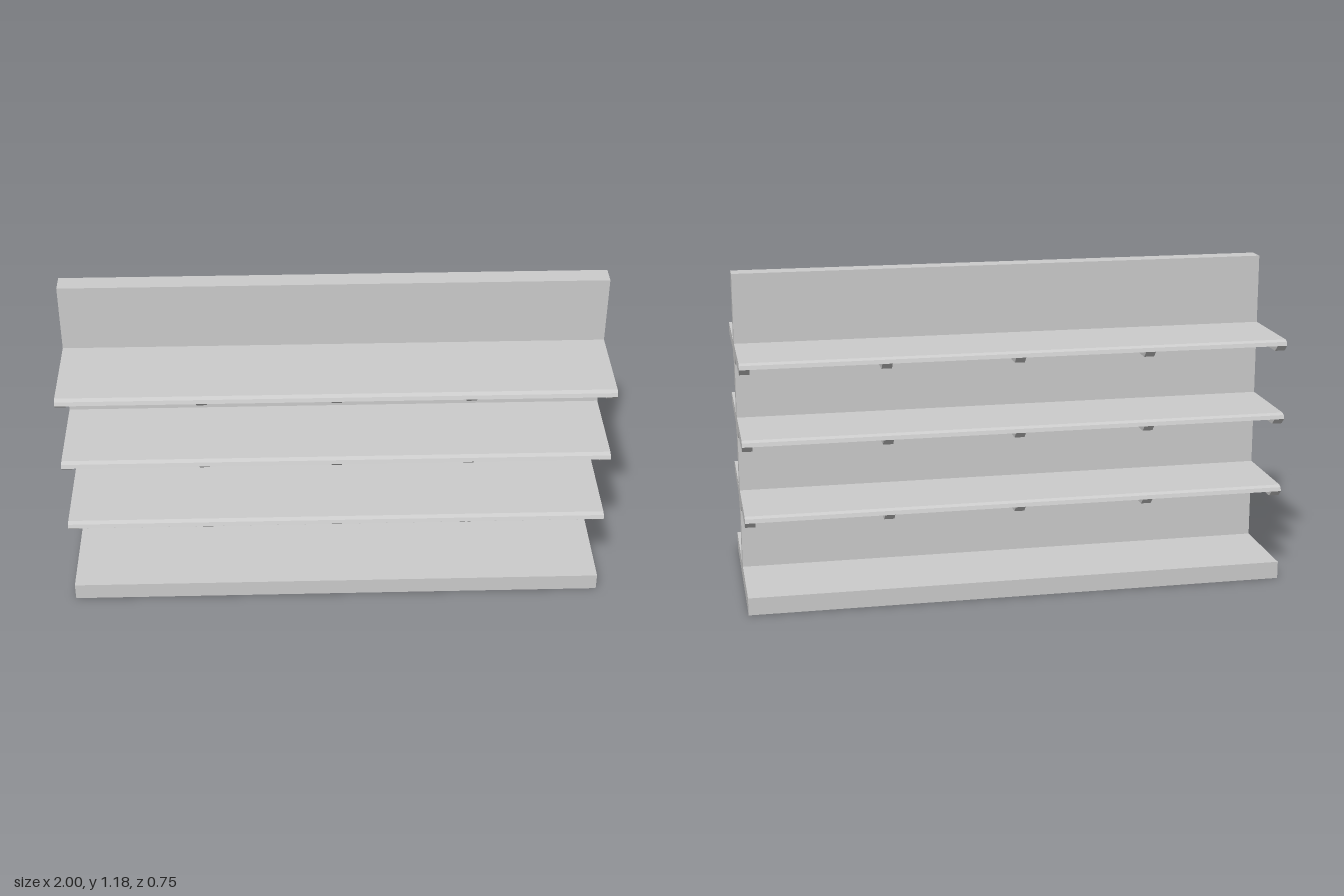
import * as THREE from 'three';

const LENGTH = 2;
const material = new THREE.MeshStandardMaterial({ color: 0xcccccc, flatShading: true });

// Extrude a (depth, height) profile along x, centred, with depth pointing to +z
function profileGeometry(points, width) {
  const shape = new THREE.Shape(points.map(([z, y]) => new THREE.Vector2(z, y)));
  const geometry = new THREE.ExtrudeGeometry(shape, { depth: width, bevelEnabled: false });
  return geometry.translate(0, 0, -width / 2).rotateY(-Math.PI / 2);
}

function addMesh(parent, name, geometry, x = 0, y = 0, z = 0) {
  const mesh = new THREE.Mesh(geometry, material);
  mesh.name = name;
  mesh.position.set(x, y, z);
  parent.add(mesh);
  return mesh;
}

export function createModel() {
  const model = new THREE.Group();
  model.name = 'doubleSidedShelving';

  // Base plinth and central panel
  addMesh(model, 'base', new THREE.BoxGeometry(LENGTH, 0.065, 0.75), 0, 0.0325, 0);
  addMesh(model, 'centrePanel', new THREE.BoxGeometry(LENGTH, 1.12, 0.072), 0, 0.625, 0);

  // Profiles are measured from the shelf's top surface
  const shelfGeometry = profileGeometry([
    [0.036, -0.02], [0.375, -0.02], [0.37, -0.006], [0.355, 0], [0.036, 0],
  ], LENGTH);
  const bracketGeometry = profileGeometry([
    [0.036, -0.07], [0.067, -0.07], [0.081, -0.043], [0.35, -0.043],
    [0.375, -0.02], [0.036, -0.02],
  ], 0.037);

  // Three tiers of shelves with brackets, on both faces of the panel
  for (const y of [0.367, 0.648, 0.927]) {
    for (const side of ['front', 'back']) {
      const tier = new THREE.Group();
      tier.name = side + 'Tier';
      tier.position.y = y;
      if (side === 'back') tier.rotation.y = Math.PI;
      addMesh(tier, 'shelf', shelfGeometry);
      for (const x of [-0.9815, -0.481, 0, 0.481, 0.9815]) {
        addMesh(tier, 'bracket', bracketGeometry, x);
      }
      model.add(tier);
    }
  }
  return model;
}
